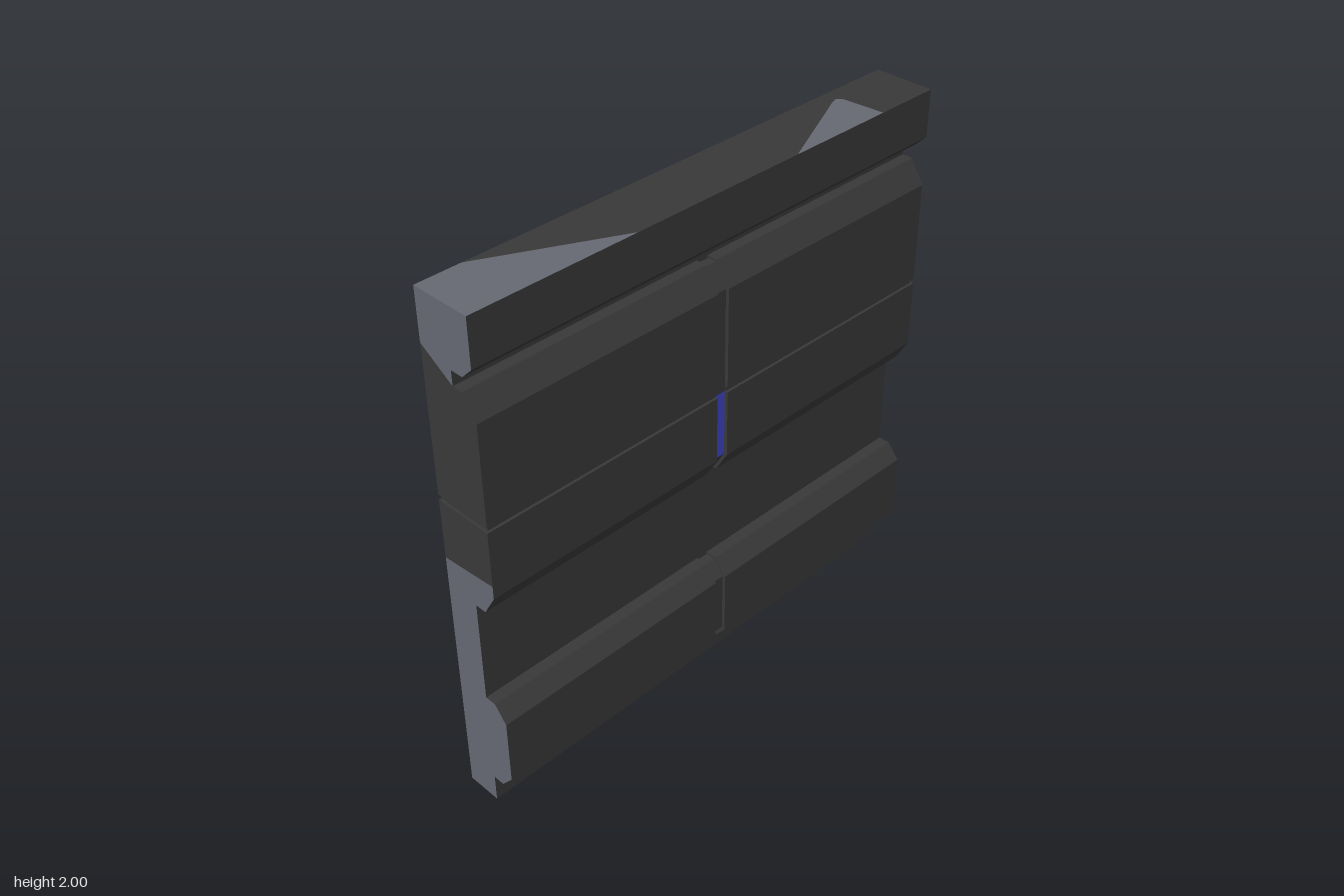
import * as THREE from 'three';

const BACK = -0.115;

// Front profile as [y, z, end inset], from top to bottom
const upper = [[2, 0.115], [1.825, 0.115], [1.78, 0.07], [1.78, 0.02], [1.725, 0.02], [1.725, 0.06],
  [1.64, 0.115], [1.26, 0.115]];
const seam = [[1.26, 0.105, 0.01], [1.24, 0.105, 0.01]];
const lower = [[1.24, 0.115], [0.98, 0.115], [0.895, 0.065], [0.895, 0.02], [0.49, 0.02], [0.49, 0.065],
  [0.43, 0.115], [0.17, 0.115], [0.11, 0.065], [0.11, 0.02], [0, 0.02]];
const profile = [...upper, ...seam, ...lower];

// Recessed profiles of the central groove
const grooveTop = [[1.713, 0.02], [1.713, 0.052], [1.634, 0.102], [1.24, 0.102]];
const grooveBlue = [[1.24, 0.102], [0.98, 0.102]];
const grooveMid = [[0.98, 0.102], [0.905, 0.057], [0.905, 0.02]];
const grooveLow = [[0.48, 0.02], [0.48, 0.058], [0.424, 0.102], [0.176, 0.102], [0.12, 0.057], [0.12, 0.02]];

export function createModel() {
  const group = new THREE.Group();
  const material = (name, color) => {
    const m = new THREE.MeshStandardMaterial({ color, side: THREE.DoubleSide });
    m.name = name;
    return m;
  };
  const dark = material('charcoal', 0x393939);
  const grey = material('worn grey', 0x666973);
  const blue = material('blue light', 0x3f45c4);

  const add = (name, geometry, mat) => {
    const mesh = new THREE.Mesh(geometry, mat);
    mesh.name = name;
    group.add(mesh);
    return mesh;
  };

  // Folded sheet swept from x0 to x1, with hard creases
  const sheet = (points, x0, x1) => {
    const pos = [];
    const ends = ([y, z, inset = 0]) => {
      const pull = (x) => (Math.abs(x) === 1 ? x - Math.sign(x) * inset : x);
      return [[pull(x0), y, z], [pull(x1), y, z]];
    };
    for (let i = 0; i < points.length - 1; i++) {
      const [a, b] = ends(points[i]);
      const [c, d] = ends(points[i + 1]);
      pos.push(...a, ...c, ...d, ...a, ...d, ...b);
    }
    const g = new THREE.BufferGeometry();
    g.setAttribute('position', new THREE.Float32BufferAttribute(pos, 3));
    g.computeVertexNormals();
    return g;
  };

  // Flat polygon in the yz plane at a given x
  const sidePlate = (points, x) => {
    const shape = new THREE.Shape(points.map(([y, z]) => new THREE.Vector2(z, y)));
    return new THREE.ShapeGeometry(shape).rotateY(-Math.PI / 2).translate(x, 0, 0);
  };
  // Flat polygon in the xz plane at a given y
  const levelPlate = (points, y) => {
    const shape = new THREE.Shape(points.map(([x, z]) => new THREE.Vector2(x, z)));
    return new THREE.ShapeGeometry(shape).rotateX(Math.PI / 2).translate(0, y, 0);
  };

  // Front panels on both sides of the groove
  const G = 0.024;
  add('rightFrontPanel', sheet(profile, -1, -G), dark);
  add('leftFrontPanel', sheet(profile, G, 1), dark);

  // Plain strips of the front that the groove does not cut
  add('topRail', sheet([...upper.slice(0, 5), grooveTop[0]], -G, G), dark);
  add('middleRail', sheet([grooveMid[2], grooveLow[0]], -G, G), dark);
  add('bottomRail', sheet([grooveLow[5], [0, 0.02]], -G, G), dark);

  // Groove floor with the blue strip
  add('upperGroove', sheet(grooveTop, -G, G), dark);
  add('blueStrip', sheet(grooveBlue, -G, G), blue);
  add('grooveFoot', sheet(grooveMid, -G, G), dark);
  add('lowerGroove', sheet(grooveLow, -G, G), dark);

  // Groove walls
  const upperWall = [...profile.slice(4, 14), ...[...grooveTop, ...grooveMid].reverse()];
  const lowerWall = [...lower.slice(4, 10), ...[...grooveLow].reverse()];
  for (const x of [-G, G]) {
    add('upperGrooveWall', sidePlate(upperWall, x), dark);
    add('lowerGrooveWall', sidePlate(lowerWall, x), dark);
  }

  // Left end, with a worn lower half
  const foot = [[0.17, 0.115], [0.147, 0.08], [0.147, 0], [0.115, BACK]];
  add('leftEndTop', sidePlate([...upper, [1.26, BACK], [2, BACK]], 1), dark);
  add('leftEndMiddle', sidePlate([lower[0], [1.01, 0.115], [1, BACK], [1.24, BACK]], 1), dark);
  add('leftEndWorn', sidePlate([[1.01, 0.115], ...lower.slice(1, 7), ...foot, [1, BACK]], 1), grey);
  add('leftEndFoot', sidePlate([...lower.slice(7), [0, BACK], ...[...foot].reverse().slice(0, 3)], 1), dark);

  // Right end, worn at the top and the lower half
  add('rightEndWornTop', sidePlate([...upper.slice(0, 5), [1.81, BACK], [2, BACK]], -1), grey);
  add('rightEndTop', sidePlate([...upper.slice(4), [1.26, BACK], [1.81, BACK]], -1), dark);
  add('rightEndMiddle', sidePlate([lower[0], [1.03, 0.115], [1.01, BACK], [1.24, BACK]], -1), dark);
  add('rightEndWorn', sidePlate([[1.03, 0.115], ...lower.slice(1), [0, BACK], [1.01, BACK]], -1), grey);

  // Seam running around both ends
  for (const s of [-1, 1]) {
    add('endSeam', sidePlate([...seam, [1.24, BACK], [1.26, BACK]], s * 0.99), dark);
    for (const y of [1.24, 1.26]) {
      add('seamLedge', levelPlate([[s, BACK], [s, 0.115], [s * 0.99, 0.105], [s * 0.99, BACK]], y), dark);
    }
  }

  // Top face with two worn patches, and the underside; the back stays open
  const patch = [[0.75, 0.115], [0.735, -0.05], [0.72, -0.065], [0.69, -0.055], [0.33, 0.115]];
  add('top', levelPlate([[-0.83, BACK], [1, BACK], [1, 0.115], ...patch, [-0.36, 0.115]], 2), dark);
  add('topWornLeft', levelPlate(patch, 2), grey);
  add('topWornRight', levelPlate([[-1, BACK], [-0.83, BACK], [-0.36, 0.115], [-1, 0.115]], 2), grey);
  add('underside', levelPlate([[-1, BACK], [1, BACK], [1, 0.02], [-1, 0.02]], 0), dark);

  return group;
}
